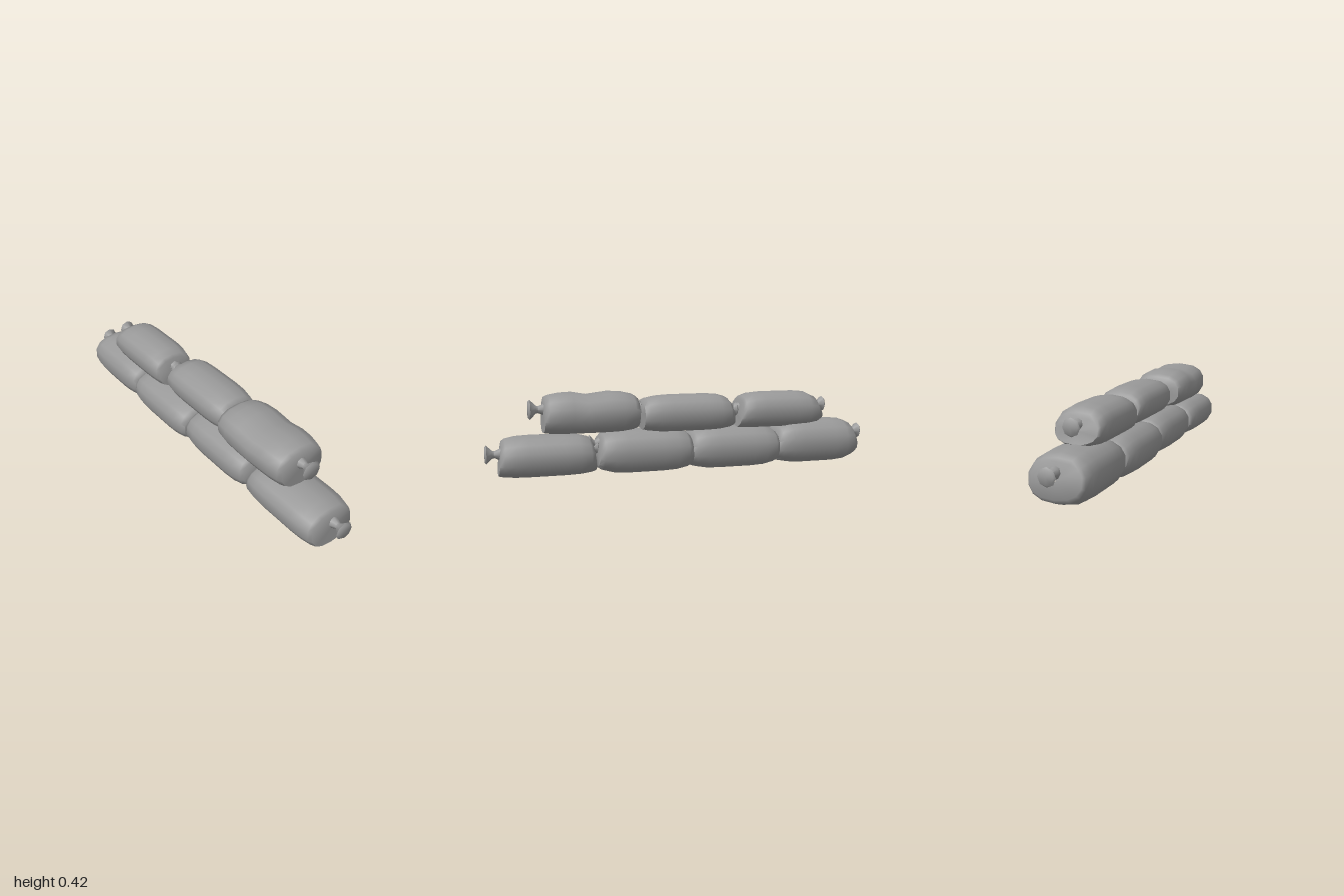
import * as THREE from 'three';
import { toCreasedNormals } from 'three/addons/utils/BufferGeometryUtils.js';

const SIDES = 14;

// Skins a list of rings (arrays of [x, y, z]) that run along +x
function loft(rings) {
  const n = rings[0].length, pos = rings.flat(2), index = [];
  for (let i = 0; i < rings.length - 1; i++) {
    for (let j = 0; j < n; j++) {
      const a = i * n + j, b = i * n + (j + 1) % n;
      index.push(a, b, a + n, b, b + n, a + n);
    }
  }
  const geo = new THREE.BufferGeometry();
  geo.setAttribute('position', new THREE.Float32BufferAttribute(pos, 3));
  geo.setIndex(index);
  return toCreasedNormals(geo, 1.1);
}

// Rounded-box cross-section, turning from +y towards +z
function ring(xAt, bottom, top, back, front, power) {
  const pts = [];
  for (let j = 0; j < SIDES; j++) {
    const a = j / SIDES * Math.PI * 2;
    const c = Math.cos(a), s = Math.sin(a);
    const v = Math.sign(c) * Math.abs(c) ** power;
    const w = Math.sign(s) * Math.abs(s) ** power;
    pts.push([xAt(v), (top + bottom) / 2 + v * (top - bottom) / 2,
      (front + back) / 2 + w * (front - back) / 2]);
  }
  return pts;
}

// Filled bag: x, y, z ranges, [bottom, top] heights of each end, outward lean of each end's foot, sag of the top
function bagGeometry({ x, y, z, left, right, lean, sag = 0 }) {
  const mid = (z[0] + z[1]) / 2, half = (z[1] - z[0]) / 2;
  const stations = [[0, 1], [0.05, 0.55], [0.17, 0.13], [0.32, 0], [0.54, 0], [0.7, 0], [0.83, 0.13], [0.95, 0.55], [1, 1]];
  const rings = stations.map(([t, e], i) => {
    const end = t < 0.5 ? left : right;
    const bottom = THREE.MathUtils.lerp(y[0], end[0], e);
    const top = THREE.MathUtils.lerp(y[1], end[1], e) - (i === 4 ? sag : 0);
    const w = half * (1 - 0.17 * e);
    const shift = (t < 0.5 ? lean[0] : -lean[1]) * e;
    const px = THREE.MathUtils.lerp(x[0], x[1], t);
    return ring(v => px + shift * (v + 1) / 2, bottom, top, mid - w, mid + w, 0.84);
  });
  // gathered end faces closing to a point inside the tie
  const cap = (px, end, shift) => {
    const cy = (end[0] + end[1]) / 2;
    return ring(() => px + shift / 2, cy - 0.003, cy + 0.003, mid - 0.003, mid + 0.003, 1);
  };
  return loft([cap(x[0] - 0.002, left, lean[0]), ...rings, cap(x[1] + 0.002, right, -lean[1])]);
}

// Twisted neck with a flared tail, pointing along +x from the origin
function tieGeometry(length, radius) {
  const profile = [[0, -0.03], [0.03, -0.03], [0.028, 0], [0.017, length * 0.35],
    [0.02, length * 0.5], [radius, length * 0.88], [radius * 0.8, length], [0, length]];
  const geo = new THREE.LatheGeometry(profile.map(([r, h]) => new THREE.Vector2(r, h)), 8);
  geo.rotateZ(-Math.PI / 2);
  return toCreasedNormals(geo, 0.9);
}

export function createModel() {
  const model = new THREE.Group();
  const cloth = new THREE.MeshStandardMaterial({ color: 0x999999 });
  cloth.name = 'grey cloth';

  const add = (name, geo) => {
    const mesh = new THREE.Mesh(geo, cloth);
    mesh.name = name;
    model.add(mesh);
    return mesh;
  };

  const bags = [
    // bottom row
    { x: [-0.955, -0.485], y: [0.005, 0.238], z: [-0.149, 0.142], left: [0.055, 0.205], right: [0.03, 0.19], lean: [0.04, 0] },
    { x: [-0.495, -0.015], y: [0, 0.222], z: [-0.144, 0.147], left: [0.03, 0.185], right: [0.025, 0.185], lean: [0.01, 0] },
    { x: [-0.02, 0.465], y: [0.002, 0.224], z: [-0.149, 0.137], left: [0.03, 0.19], right: [0.04, 0.19], lean: [0.01, 0.02] },
    { x: [0.47, 0.94], y: [0.008, 0.21], z: [-0.146, 0.139], left: [0.025, 0.18], right: [0.02, 0.185], lean: [0.02, 0.02] },
    // top row
    { x: [-0.747, -0.268], y: [0.203, 0.392], z: [-0.13, 0.113], left: [0.235, 0.345], right: [0.208, 0.355], lean: [0.04, 0.03] },
    { x: [-0.245, 0.235], y: [0.203, 0.392], z: [-0.15, 0.1], left: [0.225, 0.36], right: [0.22, 0.365], lean: [0.03, 0] },
    { x: [0.258, 0.722], y: [0.21, 0.416], z: [-0.148, 0.144], left: [0.23, 0.385], right: [0.218, 0.395], lean: [0, 0.01], sag: 0.013 },
  ];
  bags.forEach((b, i) => add((i < 4 ? 'bottomBag' : 'topBag') + (i < 4 ? i + 1 : i - 3), bagGeometry(b)));

  // ties: x start, y, z, length, flare radius, direction
  const ties = [
    [-0.94, 0.16, -0.01, 0.06, 0.042, -1],
    [0.93, 0.125, -0.015, 0.07, 0.046, 1],
    [-0.49, 0.12, -0.005, 0.04, 0.04, 1],
    [-0.02, 0.12, -0.005, 0.04, 0.04, 1],
    [0.45, 0.155, -0.005, 0.05, 0.044, 1],
    [0.49, 0.135, -0.005, 0.04, 0.035, -1],
    [-0.72, 0.315, -0.01, 0.06, 0.042, -1],
    [-0.285, 0.308, -0.01, 0.045, 0.036, 1],
    [-0.235, 0.302, -0.015, 0.045, 0.036, -1],
    [0.225, 0.322, -0.015, 0.035, 0.036, 1],
    [0.272, 0.325, -0.015, 0.04, 0.034, -1],
    [0.715, 0.332, 0.004, 0.075, 0.05, 1],
  ];
  ties.forEach(([x, y, z, length, radius, dir], i) => {
    const tie = add('tie' + (i + 1), tieGeometry(length, radius));
    tie.position.set(x, y, z);
    if (dir < 0) tie.rotation.y = Math.PI;
  });
  return model;
}
